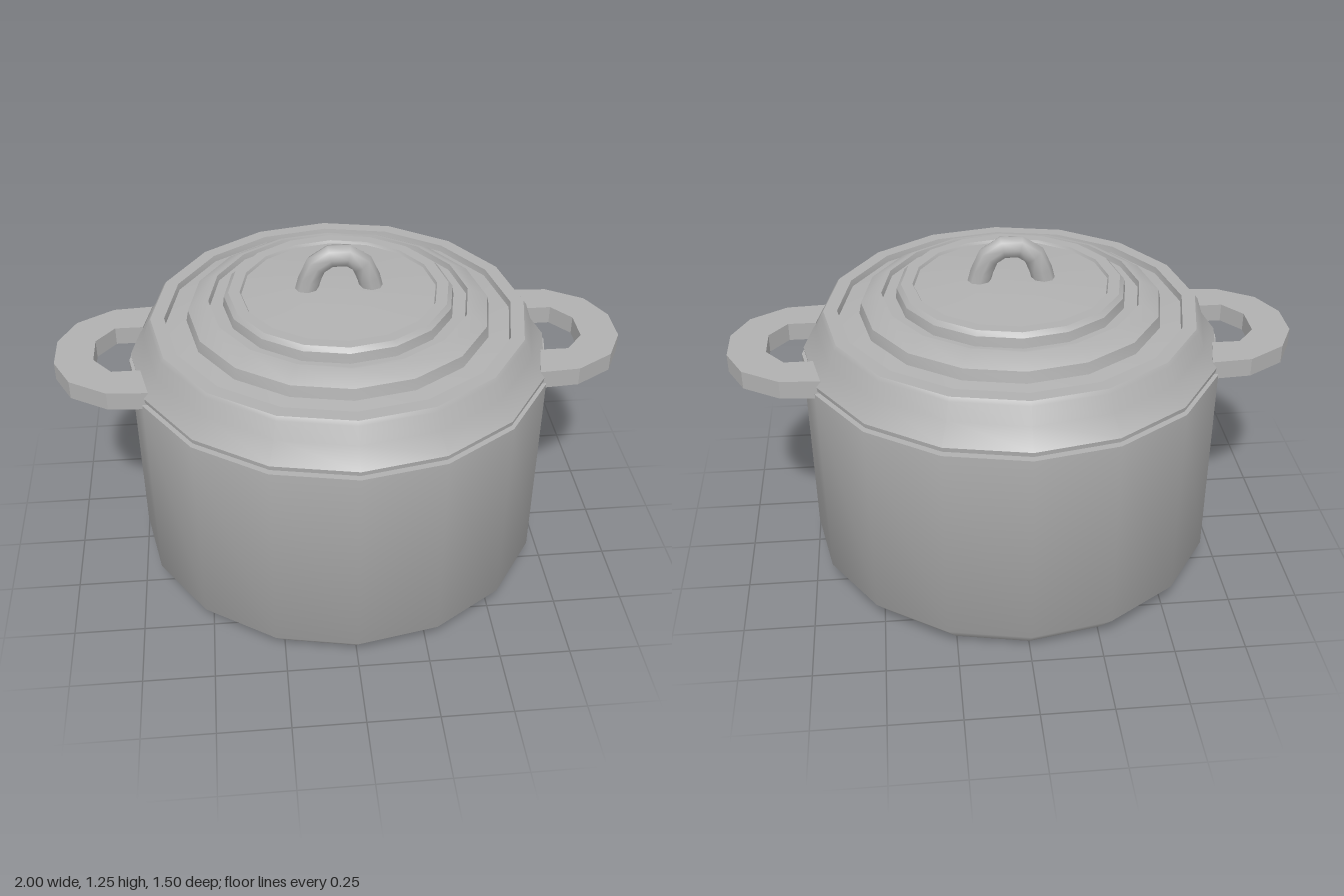
import * as THREE from 'three';
import { toCreasedNormals } from 'three/addons/utils/BufferGeometryUtils.js';

const SIDES = 16;

export function createModel() {
  const metal = new THREE.MeshStandardMaterial({ color: 0xb0b0b0 });
  metal.name = 'grey metal';
  const pot = new THREE.Group();
  pot.name = 'cookingPot';

  const add = (name, geometry) => {
    const mesh = new THREE.Mesh(geometry, metal);
    mesh.name = name;
    pot.add(mesh);
    return mesh;
  };
  // Sixteen-sided turned part; edges sharper than the crease stay hard
  const turned = (profile, crease) => toCreasedNormals(
    new THREE.LatheGeometry(profile.map(([r, y]) => new THREE.Vector2(r, y)), SIDES), crease);

  // Hollow body with a bevelled foot
  add('body', turned([
    [0, 0], [0.4, 0], [0.66, 0.01], [0.742, 0.1], [0.748, 0.832],
    [0.7, 0.832], [0.69, 0.12], [0.62, 0.06], [0, 0.06],
  ], 0.9));

  // Lid: sloped skirt and three stepped rings, each with a shallow groove inside
  add('lid', turned([
    [0, 0.83], [0.69, 0.83], [0.69, 0.842], [0.738, 0.842], [0.74, 0.858],
    [0.69, 0.925], [0.67, 0.985], [0.66, 0.998], [0.612, 0.998], [0.608, 0.975],
    [0.535, 0.985], [0.527, 1.025], [0.465, 1.06], [0.455, 1.06], [0.45, 1.04],
    [0.405, 1.04], [0.4, 1.075], [0.385, 1.09], [0.345, 1.09], [0.34, 1.08],
    [0.17, 1.094], [0, 1.1],
  ], 0.6));

  // Flat looped side handles
  const outer = [[0.67, 0.28], [0.81, 0.27], [0.94, 0.19], [1, 0.07]];
  const inner = [[0.7, 0.14], [0.8, 0.14], [0.865, 0.06]];
  const flip = (points) => points.map(([x, z]) => [x, -z]);
  const outline = [
    ...flip(outer), ...outer.slice().reverse(),
    ...inner, ...flip(inner).reverse(),
  ].map(([x, z]) => new THREE.Vector2(x, z));
  const loop = new THREE.ExtrudeGeometry(new THREE.Shape(outline), { depth: 0.066, bevelEnabled: false });
  loop.rotateX(-Math.PI / 2).translate(0, 0.814, 0);
  add('leftHandle', loop);
  add('rightHandle', loop).rotation.y = Math.PI;

  // Arched lid grip
  const arch = new THREE.CatmullRomCurve3([
    [-0.118, 1.07], [-0.085, 1.175], [-0.038, 1.213], [0.038, 1.213], [0.085, 1.175], [0.118, 1.07],
  ].map(([x, y]) => new THREE.Vector3(x, y, 0)));
  add('lidGrip', new THREE.TubeGeometry(arch, 7, 0.04, 8));

  return pot;
}
